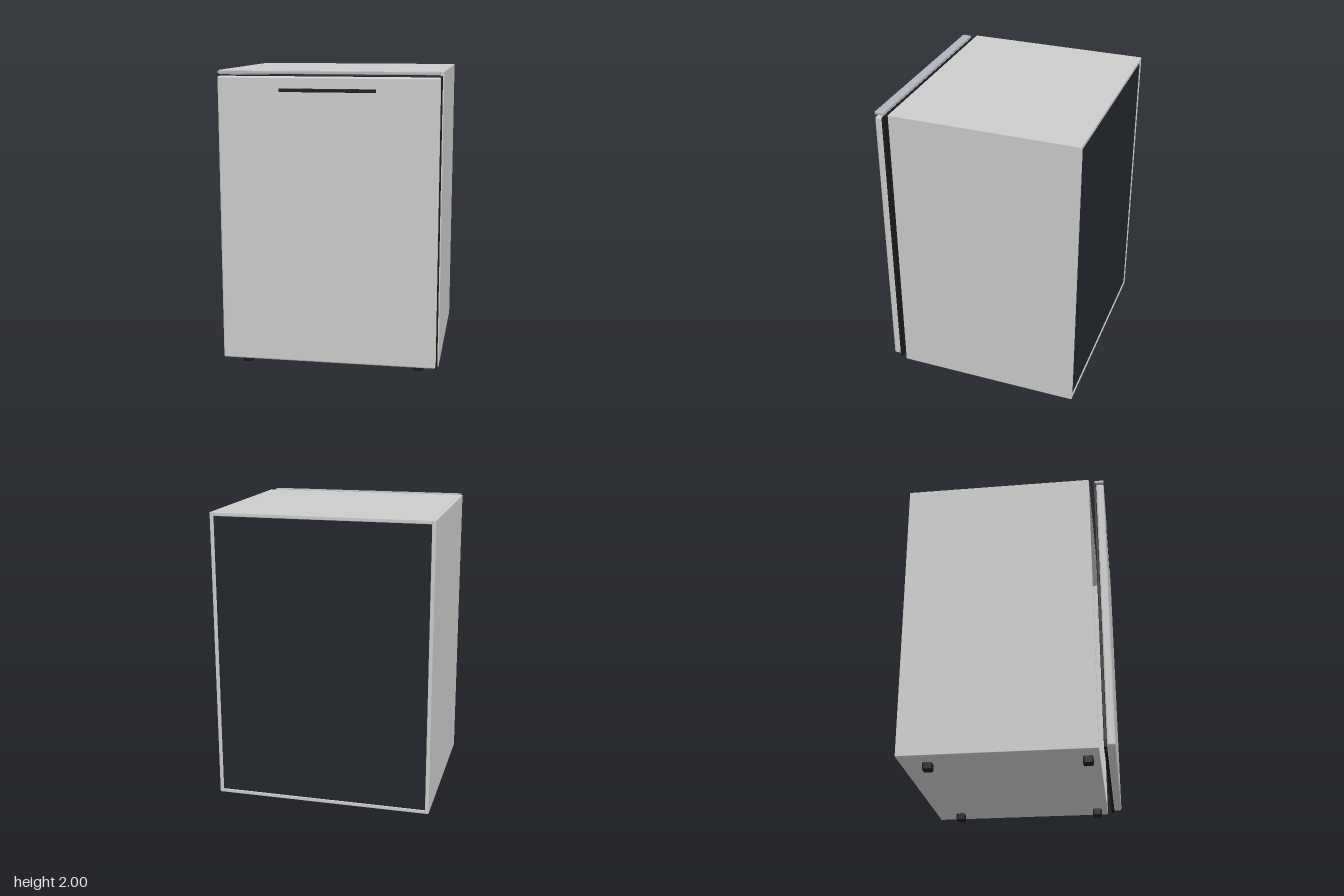
import * as THREE from 'three';
import { RoundedBoxGeometry } from 'three/addons/geometries/RoundedBoxGeometry.js';

const grey = new THREE.MeshStandardMaterial({ color: 0xcccccc });
const dark = new THREE.MeshStandardMaterial({ color: 0x22272c });
const black = new THREE.MeshStandardMaterial({ color: 0x1a1a1a });
const trimGrey = new THREE.MeshStandardMaterial({ color: 0xb0b5be });

export function createModel() {
  const model = new THREE.Group();
  model.name = 'cabinet';

  // Softened box given by its minimum and maximum corners
  function block(name, min, max, material, radius = 0.004) {
    const size = max.map((v, i) => v - min[i]);
    const mesh = new THREE.Mesh(new RoundedBoxGeometry(...size, 2, radius), material);
    mesh.position.set(...max.map((v, i) => (v + min[i]) / 2));
    mesh.name = name;
    model.add(mesh);
  }

  // Carcass: side panels, top, bottom and the dark inset back
  const back = -0.675, front = 0.575, base = 0.055;
  block('leftPanel', [0.705, base, back], [0.73, 2, front], grey);
  block('rightPanel', [-0.73, base, back], [-0.705, 2, front], grey);
  block('topPanel', [-0.705, 1.975, back], [0.705, 2, front], grey);
  block('bottomPanel', [-0.705, base, back], [0.705, base + 0.025, front], grey);
  block('backPanel', [-0.705, base + 0.02, back + 0.005], [0.705, 1.98, back + 0.025], dark, 0.001);

  // Door with its seal, grip slot and top trim
  block('door', [-0.715, 0.075, 0.622], [0.715, 1.965, 0.675], grey, 0.012);
  block('doorSeal', [-0.724, 0.062, 0.605], [0.724, 1.973, 0.623], black, 0.004);
  block('gripSlot', [-0.312, 1.867, 0.66], [0.312, 1.89, 0.6765], black, 0.002);
  block('topTrim', [-0.71, 1.98, 0.613], [0.71, 2, 0.675], trimGrey, 0.004);

  // Four feet
  for (const x of [-0.585, 0.585]) {
    for (const z of [-0.497, 0.503]) {
      block('foot', [x - 0.032, 0, z - 0.032], [x + 0.032, base, z + 0.032], black, 0.012);
    }
  }
  return model;
}
